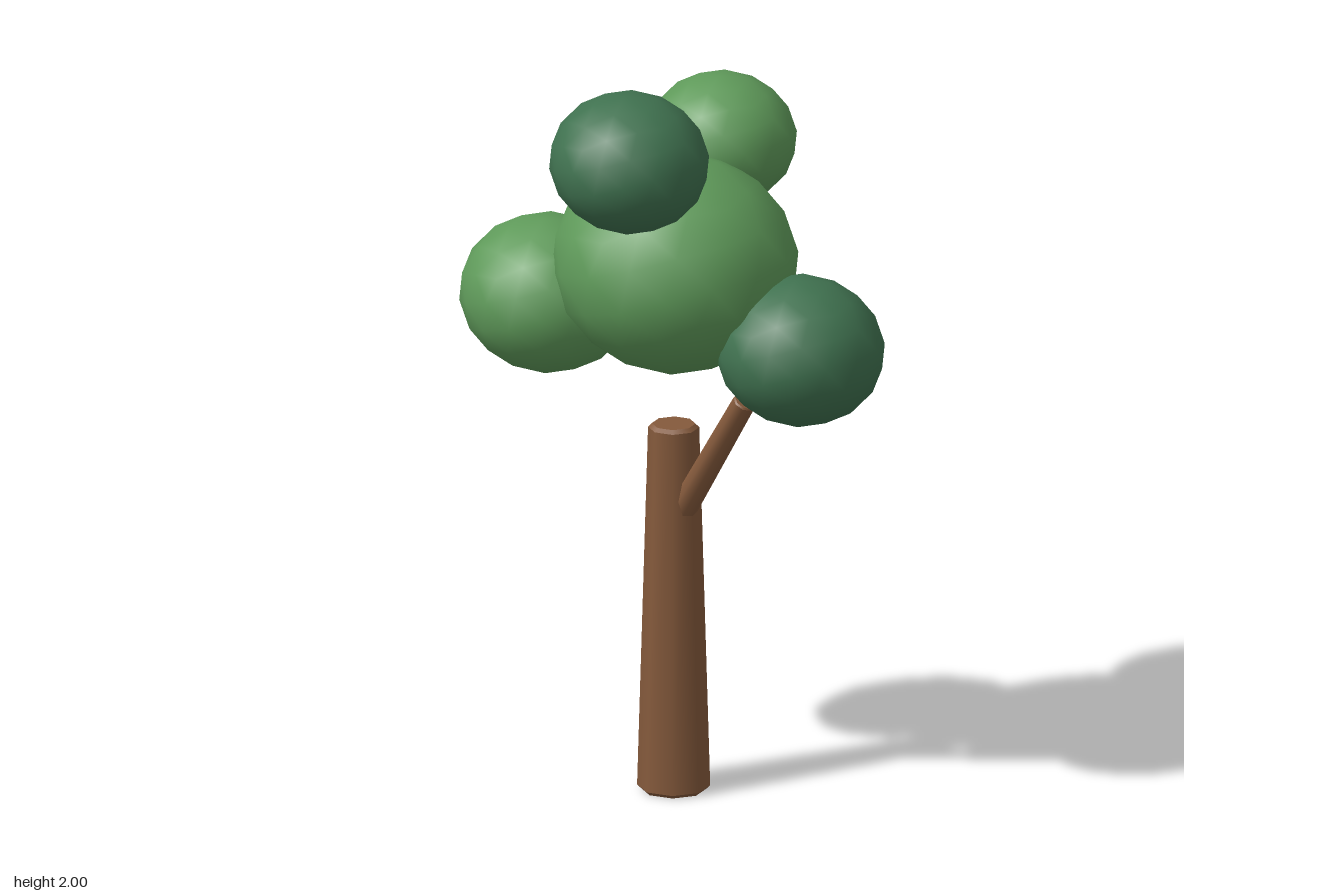
import * as THREE from 'three';
import { mergeGeometries } from 'three/addons/utils/BufferGeometryUtils.js';

const material = (name, color) => {
  const m = new THREE.MeshStandardMaterial({ color });
  m.name = name;
  return m;
};

// Tapered eight-sided log with small chamfers, standing on y = 0
function logGeometry(bottom, top, height, bevel) {
  const ring = (r0, r1, h, y) =>
    new THREE.CylinderGeometry(r1, r0, h, 8, 1, true).translate(0, y + h / 2, 0);
  const cap = (r, y, turn) =>
    new THREE.CircleGeometry(r, 8).rotateX(turn).translate(0, y, 0);
  return mergeGeometries([
    ring(bottom - bevel, bottom, bevel, 0),
    ring(bottom, top, height - 2 * bevel, bevel),
    ring(top, top - bevel, bevel, height - bevel),
    cap(bottom - bevel, 0, Math.PI / 2),
    cap(top - bevel, height, -Math.PI / 2),
  ]);
}

export function createModel() {
  const bark = material('bark', 0x855a3c);
  const lightLeaf = material('light leaf', 0x5f9a5a);
  const darkLeaf = material('dark leaf', 0x407250);

  const tree = new THREE.Group();
  tree.name = 'tree';
  const add = (name, geometry, mat) => {
    const mesh = new THREE.Mesh(geometry, mat);
    mesh.name = name;
    tree.add(mesh);
    return mesh;
  };

  // Trunk
  add('trunk', logGeometry(0.097, 0.068, 1.02, 0.01), bark).position.set(-0.01, 0, 0.03);

  // Side branch, from inside the trunk up into the right-hand clump
  const start = new THREE.Vector3(0.0, 0.75, 0.03);
  const end = new THREE.Vector3(0.268, 1.15, 0.03);
  const direction = end.clone().sub(start);
  const branch = add('branch', logGeometry(0.038, 0.032, direction.length(), 0.004), bark);
  branch.position.copy(start);
  branch.quaternion.setFromUnitVectors(new THREE.Vector3(0, 1, 0), direction.normalize());

  // Squashed, slightly tilted leaf clumps: name, centre, radius, half height, colour
  const clumps = [
    ['mainFoliage', [-0.01, 1.47, 0.025], 0.33, 0.288, lightLeaf],
    ['topFoliage', [0.053, 1.815, 0.25], 0.214, 0.184, darkLeaf],
    ['backFoliage', [-0.138, 1.722, -0.265], 0.2, 0.172, lightLeaf],
    ['leftFoliage', [-0.335, 1.342, 0.182], 0.238, 0.207, lightLeaf],
    ['rightFoliage', [0.338, 1.278, -0.105], 0.226, 0.196, darkLeaf],
  ];
  for (const [name, centre, radius, halfHeight, mat] of clumps) {
    const clump = add(name, new THREE.IcosahedronGeometry(1, 2), mat);
    clump.scale.set(radius, halfHeight, radius);
    clump.rotation.set(0.08, 0, -0.22);
    clump.position.set(...centre);
  }
  return tree;
}
